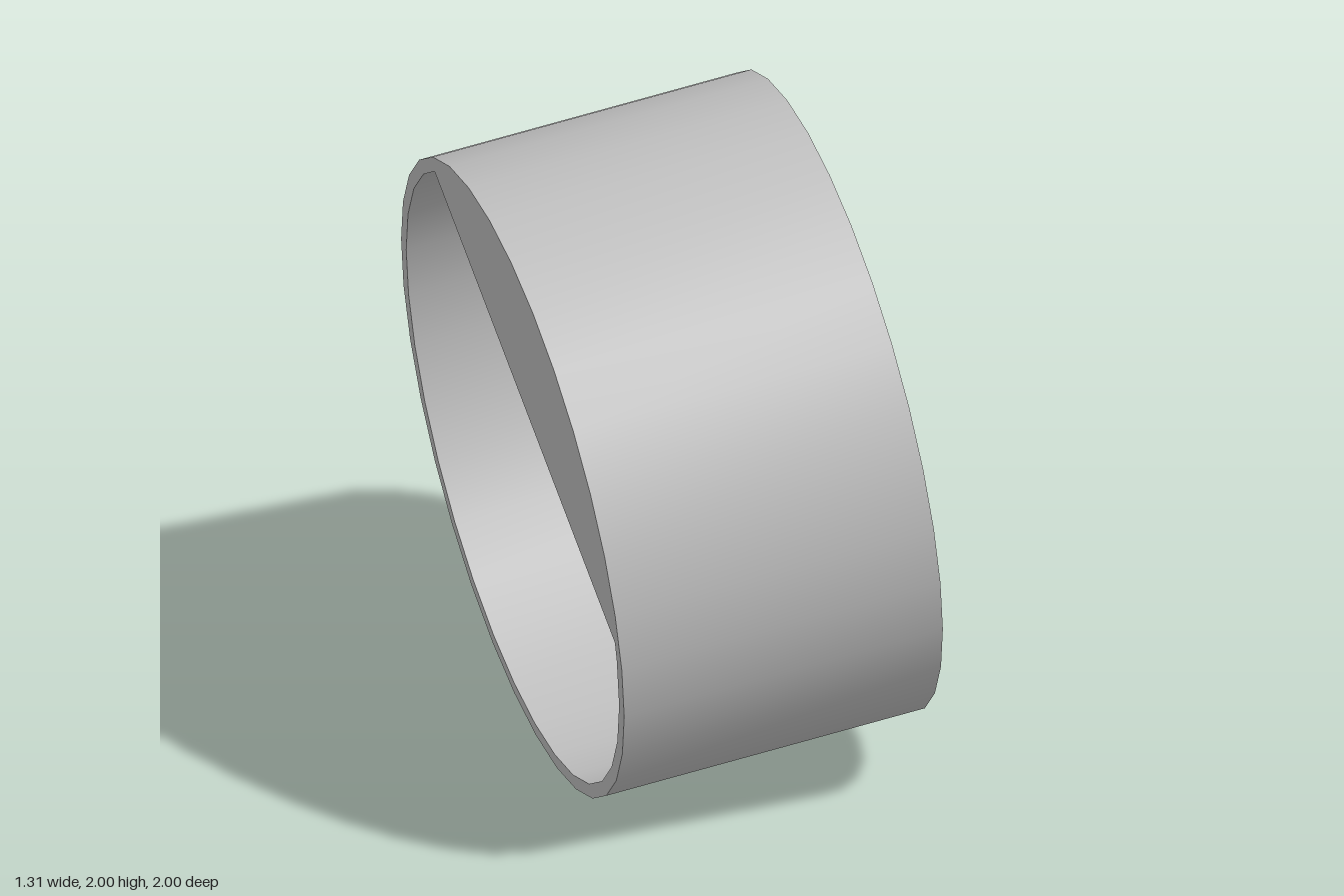
import * as THREE from 'three';
import { toCreasedNormals } from 'three/addons/utils/BufferGeometryUtils.js';

const SIDES = 32, OUTER = 0.943, INNER = 0.9, DEPTH = 0.959;
const polar = (radius, degrees) => {
  const t = THREE.MathUtils.degToRad(degrees);
  return new THREE.Vector2(radius * Math.cos(t), radius * Math.sin(t));
};

export function createModel() {
  const group = new THREE.Group();
  group.name = 'tiltedSleeve';
  const grey = new THREE.MeshStandardMaterial({ color: 0xc0c0c0 });
  grey.name = 'grey';

  // Round outside of the sleeve
  const step = 360 / SIDES;
  const outline = [];
  for (let i = 0; i < SIDES; i++) outline.push(polar(OUTER, i * step));
  const shape = new THREE.Shape(outline);

  // Bore: an arc closed by a chord, leaving a solid segment on one side
  const start = 187, end = 426;
  const bore = [polar(INNER, start)];
  for (let a = Math.ceil(start / step) * step; a < end; a += step) bore.push(polar(INNER, a));
  bore.push(polar(INNER, end));
  shape.holes.push(new THREE.Path(bore));

  const solid = new THREE.ExtrudeGeometry(shape, { depth: DEPTH, bevelEnabled: false });
  solid.translate(0, 0, -DEPTH / 2);
  const sleeve = new THREE.Mesh(toCreasedNormals(solid, 0.5), grey);
  sleeve.name = 'sleeve';

  // Tilt the bore axis a little up and back from +x
  const axis = new THREE.Vector3(0.98, 0.139, -0.139).normalize();
  const up = new THREE.Vector3(0, 1, 0).addScaledVector(axis, -axis.y).normalize();
  const across = new THREE.Vector3().crossVectors(up, axis);
  sleeve.quaternion.setFromRotationMatrix(new THREE.Matrix4().makeBasis(across, up, axis));
  sleeve.position.y = 1;
  group.add(sleeve);
  return group;
}
